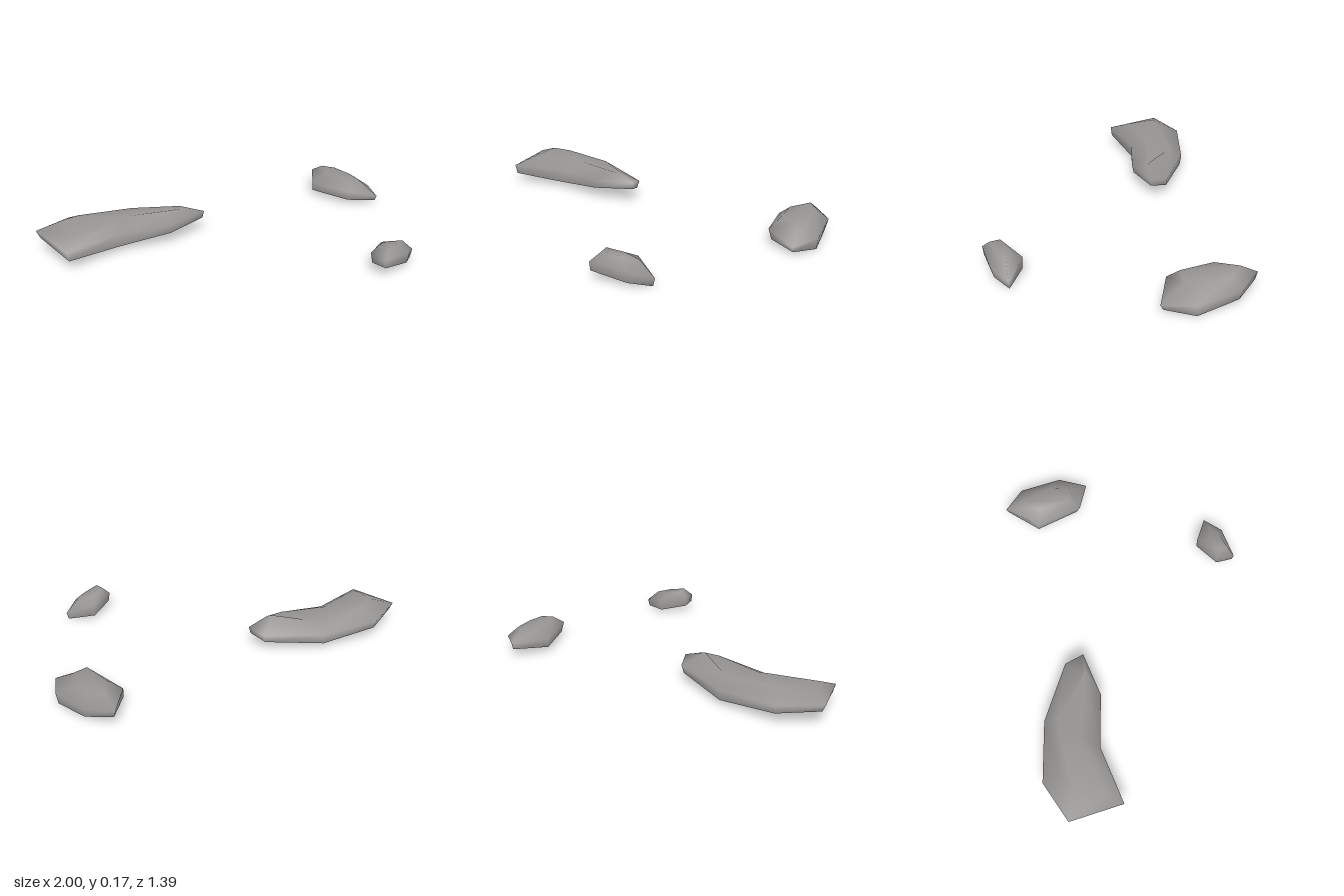
import * as THREE from 'three';

// Each rock is three rings of [x, y, z] corners: foot, waist and crown.
const ROCKS = {
  largeRock: [
    [[-0.98, 0.08, 0.28], [-0.84, 0.06, 0.09], [-0.52, 0.03, -0.02], [-0.18, 0.055, -0.02],
      [-0.1, 0.08, 0.05], [-0.28, 0.06, 0.21], [-0.56, 0.03, 0.31], [-0.8, 0.05, 0.52]],
    [[-1, 0.12, 0.28], [-0.85, 0.11, 0.08], [-0.52, 0.09, -0.03], [-0.17, 0.1, -0.03],
      [-0.09, 0.12, 0.05], [-0.28, 0.11, 0.22], [-0.56, 0.1, 0.31], [-0.81, 0.1, 0.53]],
    [[-0.85, 0.17, 0.25], [-0.78, 0.16, 0.17], [-0.5, 0.143, 0.04], [-0.23, 0.17, 0.09],
      [-0.2, 0.16, 0.1], [-0.29, 0.163, 0.14], [-0.56, 0.155, 0.2], [-0.8, 0.14, 0.42]],
  ],
  mediumRock: [
    [[0.66, 0.05, -0.69], [0.81, 0.025, -0.64], [0.96, 0, -0.47],
      [0.98, 0.02, -0.31], [0.81, 0.03, -0.3], [0.62, 0.032, -0.48]],
    [[0.65, 0.09, -0.7], [0.81, 0.08, -0.66], [0.97, 0.06, -0.47],
      [0.99, 0.05, -0.3], [0.81, 0.09, -0.28], [0.62, 0.08, -0.48]],
    [[0.7, 0.143, -0.62], [0.78, 0.135, -0.6], [0.86, 0.128, -0.49],
      [0.89, 0.128, -0.39], [0.81, 0.14, -0.35], [0.7, 0.14, -0.49]],
  ],
  smallRock: [
    [[0.83, 0.02, 0.465], [0.99, 0.003, 0.465], [0.94, 0.02, 0.57], [0.8, 0.05, 0.69], [0.75, 0.045, 0.61]],
    [[0.83, 0.09, 0.46], [1, 0.045, 0.46], [0.95, 0.08, 0.58], [0.8, 0.095, 0.695], [0.74, 0.1, 0.61]],
    [[0.84, 0.125, 0.53], [0.93, 0.115, 0.5], [0.89, 0.13, 0.57], [0.82, 0.143, 0.64], [0.78, 0.14, 0.6]],
  ],
};

// Triangles filling a ring, facing up
function fillRing(ring, offset) {
  const flat = ring.map(([x, , z]) => new THREE.Vector2(x, z));
  return THREE.ShapeUtils.triangulateShape(flat, []).flatMap(([a, b, c]) => {
    const area = THREE.ShapeUtils.area([flat[a], flat[b], flat[c]]);
    const tri = area < 0 ? [a, b, c] : [a, c, b];
    return tri.map((i) => i + offset);
  });
}

// Smooth shell of a rock, open underneath
function rockGeometry(rings) {
  const n = rings[0].length;
  const index = [];
  // Walls between neighbouring rings
  for (let r = 0; r < 2; r++) {
    for (let i = 0; i < n; i++) {
      const j = (i + 1) % n;
      const a = r * n + i, b = r * n + j;
      index.push(b, a, a + n, b, a + n, b + n);
    }
  }
  // Crown
  index.push(...fillRing(rings[2], 2 * n));
  const geometry = new THREE.BufferGeometry();
  geometry.setAttribute('position', new THREE.Float32BufferAttribute(rings.flat(2), 3));
  geometry.setIndex(index);
  geometry.computeVertexNormals();
  return geometry;
}

export function createModel() {
  const group = new THREE.Group();
  group.name = 'rocks';
  const stone = new THREE.MeshStandardMaterial({ color: 0x969492, side: THREE.DoubleSide });
  stone.name = 'grey stone';
  for (const [name, rings] of Object.entries(ROCKS)) {
    const rock = new THREE.Mesh(rockGeometry(rings), stone);
    rock.name = name;
    group.add(rock);
  }
  return group;
}
